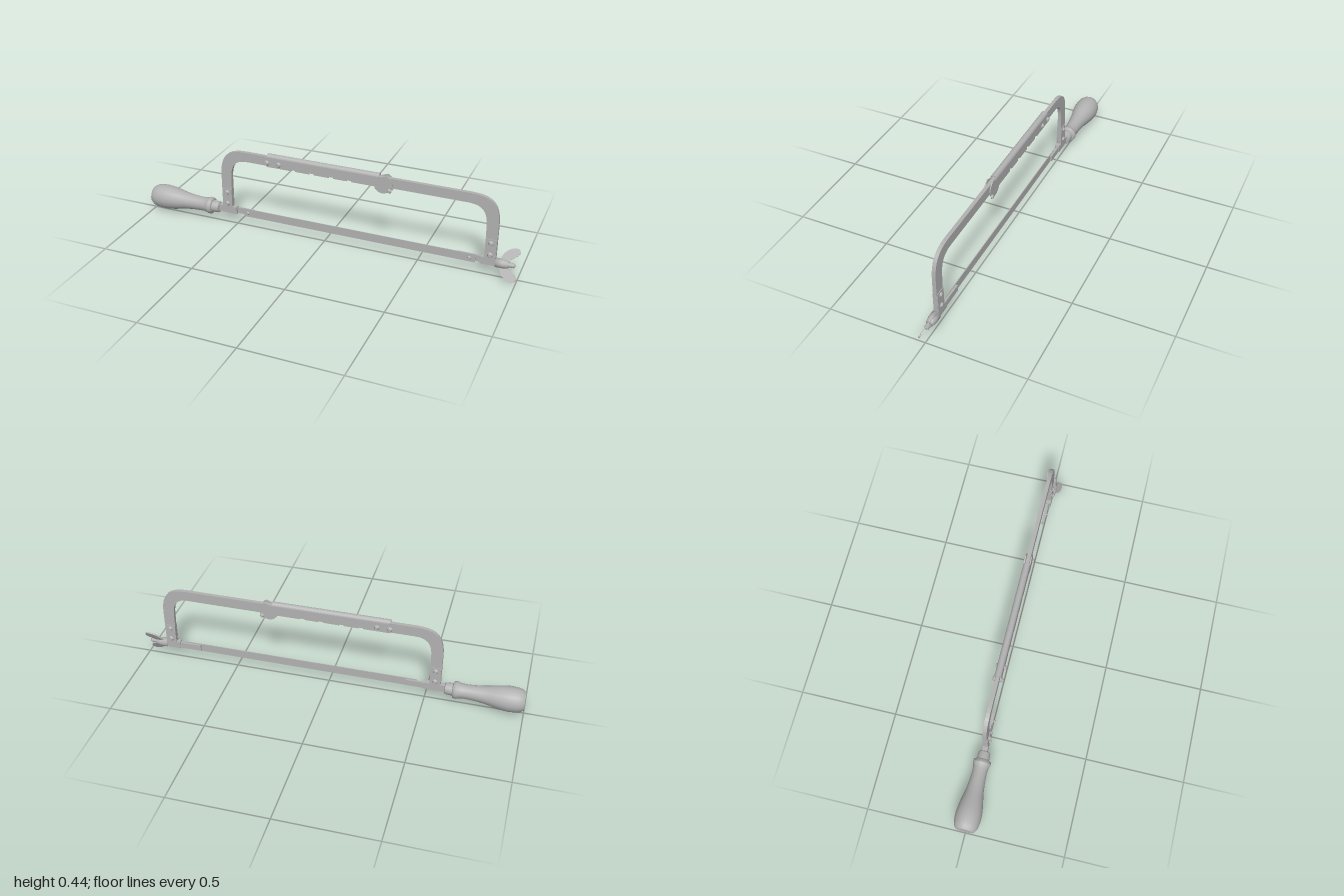
import * as THREE from 'three';

const AXIS = 0.075; // height of the handle, blade and screw line

export function createModel() {
  const root = new THREE.Group();
  root.name = 'hacksaw';
  const steel = new THREE.MeshStandardMaterial({ color: 0xb2b2b2 });
  steel.name = 'grey steel';

  const add = (name, geometry, x = 0, y = 0, z = 0, parent = root) => {
    const mesh = new THREE.Mesh(geometry, steel);
    mesh.name = name;
    mesh.position.set(x, y, z);
    parent.add(mesh);
    return mesh;
  };
  // Box given by its limits
  const slab = (name, x0, x1, y0, y1, z0, z1) =>
    add(name, new THREE.BoxGeometry(x1 - x0, y1 - y0, z1 - z0), (x0 + x1) / 2, (y0 + y1) / 2, (z0 + z1) / 2);
  // Flat shape extruded from z0 to z1
  const plate = (name, shape, z0, z1, parent = root) =>
    add(name, new THREE.ExtrudeGeometry(shape, { depth: z1 - z0, bevelEnabled: false, curveSegments: 10 }), 0, 0, z0, parent);
  // Turned part along x, from [x, radius] points
  const turned = (name, points, sides) => {
    const geo = new THREE.LatheGeometry(points.map(([x, r]) => new THREE.Vector2(r, x)), sides);
    geo.rotateZ(-Math.PI / 2);
    return add(name, geo, 0, AXIS, 0);
  };
  // Rivet head on the side plane z; side is +1 or -1
  const rivet = (x, y, z, side, r = 0.014) => {
    const geo = new THREE.CylinderGeometry(r * 0.55, r, 0.009, 12);
    geo.rotateX(side * Math.PI / 2);
    add('rivet', geo, x, y, side * (z + 0.0045));
  };

  // Handle and ferrule
  const profile = new THREE.SplineCurve([
    [-1, 0.046], [-0.975, 0.06], [-0.925, 0.065], [-0.87, 0.059], [-0.8, 0.045],
    [-0.73, 0.038], [-0.685, 0.038], [-0.66, 0.045],
  ].map(([x, r]) => new THREE.Vector2(x, r))).getPoints(24);
  turned('handle', profile.map((p) => [p.x, p.y]), 16);
  turned('handleEnd', [[-1, 0], [-1, 0.046]], 16);
  turned('handleCollar', [[-0.66, 0.045], [-0.645, 0.043], [-0.64, 0.033], [-0.64, 0]], 16);
  turned('ferrule', [[-0.64, 0.032], [-0.605, 0.03], [-0.6, 0.027], [-0.6, 0]], 16);

  // Bent frame bar
  const cx = 0.156;
  const bar = new THREE.Shape();
  bar.moveTo(cx - 0.734, 0.096);
  bar.lineTo(cx - 0.734, 0.27);
  bar.bezierCurveTo(cx - 0.734, 0.385, cx - 0.7, 0.425, cx - 0.59, 0.425);
  bar.lineTo(cx + 0.59, 0.425);
  bar.bezierCurveTo(cx + 0.7, 0.425, cx + 0.734, 0.385, cx + 0.734, 0.27);
  bar.lineTo(cx + 0.734, 0.096);
  bar.lineTo(cx + 0.68, 0.096);
  bar.lineTo(cx + 0.676, 0.27);
  bar.bezierCurveTo(cx + 0.676, 0.34, cx + 0.65, 0.374, cx + 0.58, 0.374);
  bar.lineTo(cx - 0.58, 0.374);
  bar.bezierCurveTo(cx - 0.65, 0.374, cx - 0.676, 0.34, cx - 0.676, 0.27);
  bar.lineTo(cx - 0.68, 0.096);
  plate('frameBar', bar, -0.0095, 0.0095);

  // Folded sleeve: arched top and two notched side walls
  const arch = new THREE.Shape();
  arch.absarc(0, 0, 0.017, 0, Math.PI, false);
  arch.absarc(0, 0, 0.012, Math.PI, 0, true);
  const archGeo = new THREE.ExtrudeGeometry(arch, { depth: 0.6, bevelEnabled: false, curveSegments: 10 });
  archGeo.rotateY(Math.PI / 2);
  add('sleeveTop', archGeo, -0.31, 0.423, 0);

  const wall = new THREE.Shape();
  wall.moveTo(-0.31, 0.423);
  wall.lineTo(-0.322, 0.405);
  wall.lineTo(-0.322, 0.385);
  wall.lineTo(-0.31, 0.372);
  for (const x of [-0.165, -0.065, 0.04, 0.135]) {
    wall.lineTo(x - 0.012, 0.372);
    wall.absarc(x, 0.372, 0.012, Math.PI, 0, true);
  }
  wall.lineTo(0.27, 0.372);
  wall.absarc(0.31, 0.391, 0.049, -2.5, 1.2, false);
  wall.lineTo(0.29, 0.423);
  for (const s of [-1, 1]) {
    plate('sleeveWall', wall, s > 0 ? 0.012 : -0.017, s > 0 ? 0.017 : -0.012);
    for (const x of [-0.31, -0.245]) rivet(x, 0.394, 0.017, s);
    rivet(0.345, 0.36, 0.017, s, 0.012);
  }

  // Riveted cheeks on the foot of each leg
  for (const x of [-0.549, 0.861]) {
    for (const s of [-1, 1]) {
      slab('legCheek', x - 0.027, x + 0.027, 0.092, 0.2, s > 0 ? 0.0095 : -0.013, s > 0 ? 0.013 : -0.0095);
      for (const y of [0.115, 0.179]) rivet(x, y, 0.013, s);
    }
  }

  // Blade with holders and pins
  slab('blade', -0.457, 0.79, 0.053, 0.097, 0.001, 0.005);
  slab('rearHolder', -0.605, -0.497, 0.059, 0.097, -0.013, 0.013);
  slab('rearHolderTongue', -0.497, -0.4, 0.061, 0.093, -0.01, 0.001);
  slab('frontHolder', 0.815, 0.89, 0.059, 0.097, -0.013, 0.013);
  slab('frontHolderTongue', 0.7, 0.815, 0.061, 0.093, -0.01, 0.001);
  for (const x of [-0.435, 0.76]) rivet(x, 0.073, 0.003, 1, 0.011);

  // Tension screw and wing nut
  turned('tensionScrew', [[0.88, 0.012], [0.978, 0.012], [0.985, 0.007], [0.985, 0]], 12);
  turned('wingNutHub', [[0.89, 0], [0.89, 0.023], [0.925, 0.023], [0.952, 0.018], [0.952, 0.01]], 14);
  const wings = new THREE.Group();
  wings.name = 'wings';
  wings.position.y = AXIS;
  wings.rotation.x = -0.5;
  root.add(wings);
  for (const s of [1, -1]) {
    const wing = new THREE.Shape();
    wing.moveTo(0.905, s * 0.015);
    wing.bezierCurveTo(0.918, s * 0.035, 0.92, s * 0.06, 0.955, s * 0.078);
    wing.bezierCurveTo(0.985, s * 0.093, 1.002, s * 0.08, 0.997, s * 0.06);
    wing.bezierCurveTo(0.99, s * 0.04, 0.965, s * 0.032, 0.945, s * 0.015);
    plate('wing', wing, -0.004, 0.004, wings);
  }
  return root;
}
